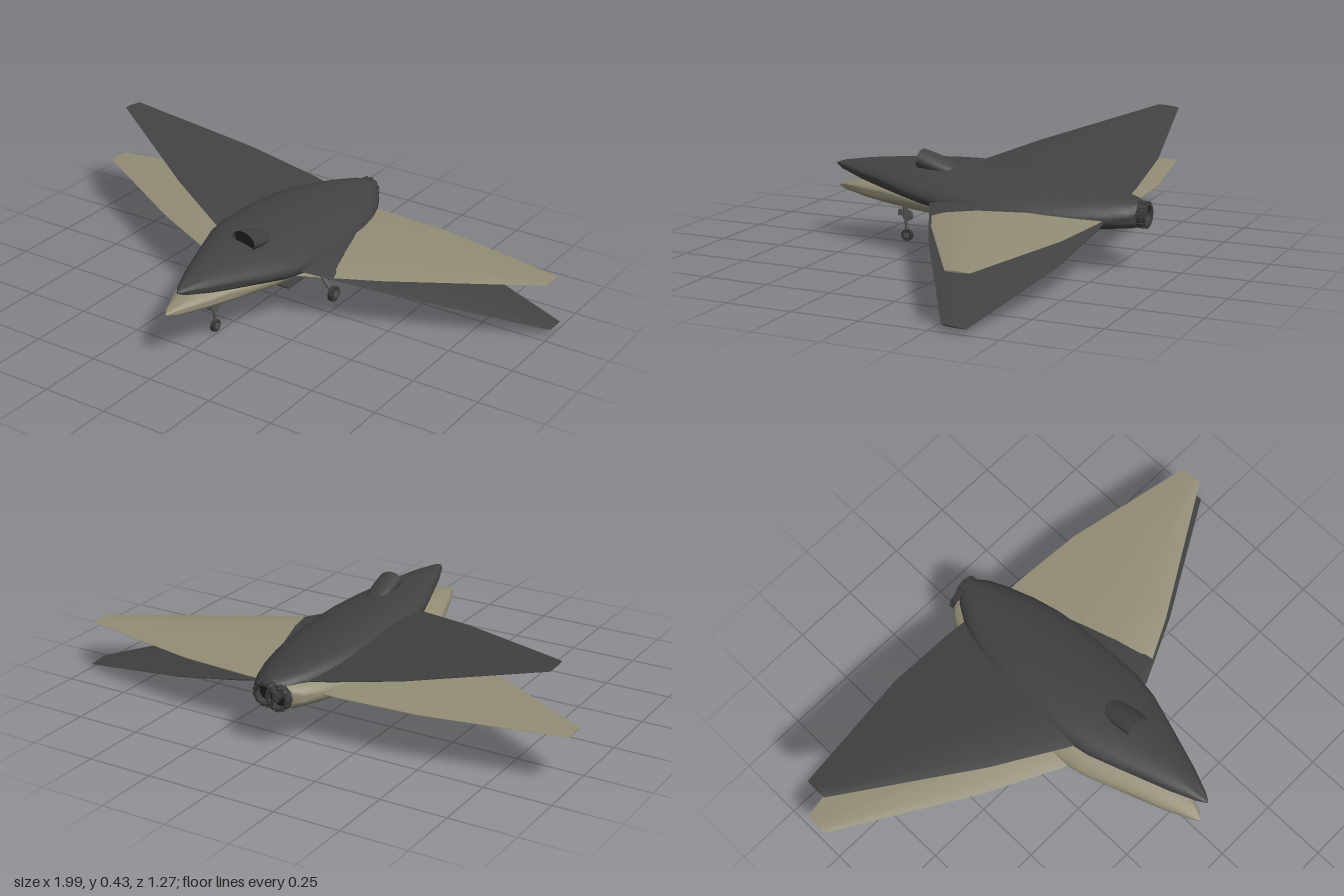
import * as THREE from 'three';
import { toCreasedNormals } from 'three/addons/utils/BufferGeometryUtils.js';

const mat = (name, color, side = THREE.FrontSide) => {
  const m = new THREE.MeshStandardMaterial({ color, side });
  m.name = name;
  return m;
};

// Skin stretched over closed cross-sections, optionally capped at both ends
function loft(rings, caps = true, crease = 0.6) {
  const n = rings[0].length, pos = rings.flat(2), idx = [];
  for (let i = 0; i < rings.length - 1; i++) {
    for (let j = 0; j < n; j++) {
      const a = i * n + j, b = i * n + (j + 1) % n;
      idx.push(a, a + n, b, b, a + n, b + n);
    }
  }
  if (caps) {
    const e = (rings.length - 1) * n;
    for (let j = 1; j < n - 1; j++) idx.push(0, j, j + 1, e, e + j + 1, e + j);
  }
  const g = new THREE.BufferGeometry();
  g.setAttribute('position', new THREE.Float32BufferAttribute(pos, 3));
  g.setIndex(idx);
  return toCreasedNormals(g, crease);
}

const ellipse = (z, rx, ry, cy = 0, n = 32) => Array.from({ length: n }, (_, i) => {
  const a = (i / n) * Math.PI * 2;
  return [Math.cos(a) * rx, cy + Math.sin(a) * ry, z];
});

function add(parent, name, geometry, material, x = 0, y = 0, z = 0) {
  const m = new THREE.Mesh(geometry, material);
  m.name = name;
  m.position.set(x, y, z);
  parent.add(m);
  return m;
}

// Round bar between two points
function bar(parent, name, from, to, r, material) {
  const a = new THREE.Vector3(...from), b = new THREE.Vector3(...to);
  const d = b.clone().sub(a);
  const m = add(parent, name, new THREE.CylinderGeometry(r, r, d.length(), 10), material);
  m.position.copy(a).addScaledVector(d, 0.5);
  m.quaternion.setFromUnitVectors(new THREE.Vector3(0, 1, 0), d.normalize());
}

function buildAircraft(name, skin, metal, black) {
  const craft = new THREE.Group();
  craft.name = name;

  // Flattened body: z, half width, half height
  const body = [
    [0.63, 0.004, 0.004], [0.6, 0.024, 0.016], [0.5, 0.068, 0.035], [0.4, 0.105, 0.047],
    [0.3, 0.142, 0.055], [0.2, 0.178, 0.061], [0.1, 0.196, 0.067], [0, 0.201, 0.07],
    [-0.1, 0.201, 0.07], [-0.2, 0.196, 0.069], [-0.3, 0.181, 0.066], [-0.4, 0.155, 0.062],
    [-0.5, 0.117, 0.056], [-0.57, 0.08, 0.05], [-0.595, 0.055, 0.046],
  ];
  add(craft, 'fuselage', loft(body.map(([z, w, h]) => ellipse(z, w, h)), true, 0.9), skin);

  // Wing, tip to tip: span position, leading edge, trailing edge, half thickness
  const half = [[0.2, 0.14, -0.505, 0.026], [0.48, 0, -0.487, 0.016], [0.985, -0.3, -0.388, 0.003]];
  const stations = [...half.map(([x, ...r]) => [-x, ...r]).reverse(), ...half];
  const foil = [[0, 0], [0.08, 0.55], [0.3, 1], [0.6, 0.8], [1, 0.06],
    [1, -0.06], [0.6, -0.8], [0.3, -1], [0.08, -0.55]];
  add(craft, 'wing', loft(stations.map(([x, f, b, t]) =>
    foil.map(([u, v]) => [x, v * t, f + (b - f) * u]))), skin);

  // Dorsal air scoop with an open mouth
  const scoopSkin = skin.clone();
  scoopSkin.side = THREE.DoubleSide;
  add(craft, 'airScoop', loft([
    ellipse(0.268, 0.049, 0.034, 0.077, 20), ellipse(0.22, 0.049, 0.031, 0.069, 20),
    ellipse(0.16, 0.046, 0.022, 0.058, 20), ellipse(0.115, 0.03, 0.01, 0.052, 20),
  ], false), skin.side === THREE.DoubleSide ? skin : scoopSkin).material = skin;
  const throat = add(craft, 'scoopThroat', new THREE.CircleGeometry(1, 20), black, 0, 0.074, 0.25);
  throat.scale.set(0.048, 0.031, 1);

  // Exhaust nozzle with a ring of petals
  const pipe = [[0.046, 0], [0.046, 0.032], [0.042, 0.036], [0.042, 0.045], [0.034, 0.045], [0.032, 0]]
    .map(([r, y]) => new THREE.Vector2(r, y));
  const nozzle = add(craft, 'nozzle', toCreasedNormals(new THREE.LatheGeometry(pipe, 24), 0.5), metal, 0, 0, -0.58);
  nozzle.rotation.x = -Math.PI / 2;
  for (let i = 0; i < 12; i++) {
    const a = (i / 12) * Math.PI * 2;
    const p = add(craft, 'nozzlePetal', new THREE.BoxGeometry(0.006, 0.015, 0.034), metal,
      Math.cos(a) * 0.045, Math.sin(a) * 0.045, -0.605);
    p.rotation.z = a;
  }
  const core = add(craft, 'exhaustCore', new THREE.CircleGeometry(0.036, 24), black, 0, 0, -0.6);
  core.rotation.y = Math.PI;
  return craft;
}

function buildWheel(parent, name, x, r, z, width, tyre, metal) {
  const w = add(parent, name, new THREE.CylinderGeometry(r, r, width, 20), tyre, x, r, z);
  w.rotation.z = Math.PI / 2;
  const hub = add(parent, name + 'Hub', new THREE.CylinderGeometry(r * 0.5, r * 0.5, width + 0.006, 14), metal, x, r, z);
  hub.rotation.z = Math.PI / 2;
}

function buildGear(metal, tyre, dark) {
  const gear = new THREE.Group();
  gear.name = 'landingGear';

  // Nose leg with lamp and torque link
  buildWheel(gear, 'noseWheel', 0, 0.023, 0.348, 0.014, tyre, metal);
  bar(gear, 'noseStrut', [0, 0.16, 0.356], [0, 0.085, 0.354], 0.009, metal);
  bar(gear, 'noseLowerStrut', [0, 0.09, 0.354], [0, 0.025, 0.348], 0.006, metal);
  const disc = add(gear, 'noseLegDisc', new THREE.CylinderGeometry(0.021, 0.021, 0.012, 16), metal, 0, 0.1, 0.345);
  disc.rotation.z = Math.PI / 2;
  add(gear, 'noseLamp', new THREE.BoxGeometry(0.022, 0.022, 0.03), metal, 0, 0.11, 0.367);

  for (const s of [-1, 1]) {
    // Splayed main leg, brace and door
    buildWheel(gear, 'mainWheel', s * 0.227, 0.029, -0.085, 0.018, tyre, metal);
    bar(gear, 'mainStrut', [s * 0.138, 0.14, -0.075], [s * 0.216, 0.045, -0.083], 0.008, metal);
    bar(gear, 'mainAxle', [s * 0.214, 0.048, -0.083], [s * 0.227, 0.029, -0.085], 0.007, metal);
    bar(gear, 'mainBrace', [s * 0.165, 0.15, -0.075], [s * 0.19, 0.077, -0.08], 0.005, metal);
    const door = add(gear, 'gearDoor', new THREE.BoxGeometry(0.006, 0.065, 0.04), dark, s * 0.208, 0.127, -0.075);
    door.rotation.z = s * 0.5;

    // Dark belly panels either side of the centre line
    add(gear, 'bellyPanel', new THREE.BoxGeometry(0.16, 0.007, 0.17), dark, s * 0.083, 0.122, 0.035);
  }
  return gear;
}

export function createModel() {
  const sand = mat('sand', 0x938d76, THREE.DoubleSide);
  const charcoal = mat('charcoal', 0x424242, THREE.DoubleSide);
  const gunmetal = mat('gunmetal', 0x3c3c3c);
  const black = mat('black', 0x1c1c1c);
  const gearGrey = mat('gearGrey', 0x565654);
  const tyre = mat('tyre', 0x383838);

  const model = new THREE.Group();
  model.name = 'aircraftPair';

  // Level lower aircraft on its wheels
  const lower = buildAircraft('lowerAircraft', sand, gunmetal, black);
  lower.position.set(-0.013, 0.194, 0.004);
  const gear = buildGear(gearGrey, tyre, charcoal);
  gear.position.x = -0.013;

  // Upper aircraft, banked and nose-up
  const upper = buildAircraft('upperAircraft', charcoal, gunmetal, black);
  upper.position.set(0.03, 0.246, -0.008);
  upper.rotation.set(-0.065, 0, -0.208);

  model.add(lower, gear, upper);
  return model;
}
